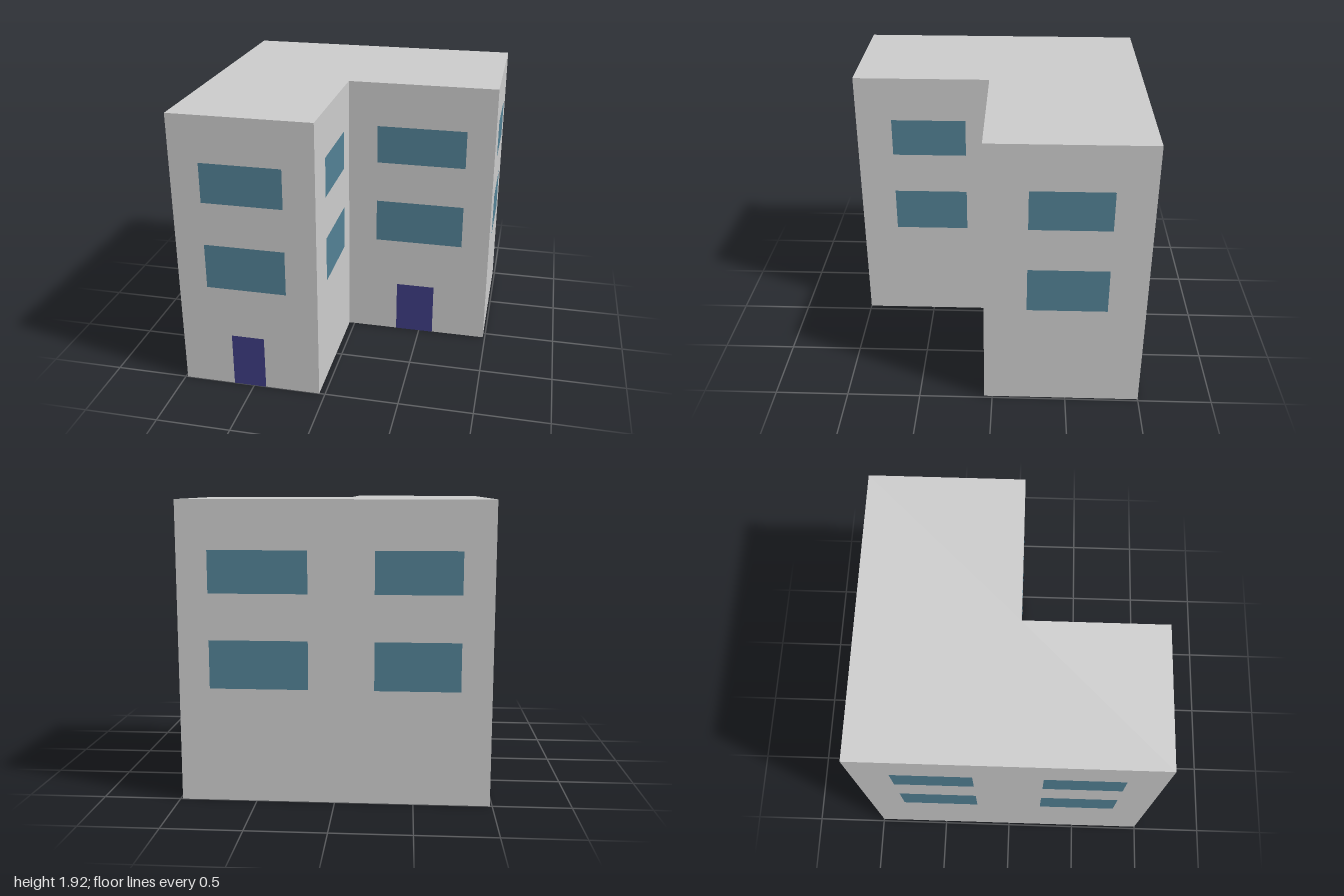
import * as THREE from 'three';

const HEIGHT = 1.92;
const X = 0.985, Z = 1;            // outer half extents
const NOTCH_X = -0.04, NOTCH_Z = 0.055; // inner corner of the L plan
const GAP = 0.002;                 // panels sit just proud of the wall

export function createModel() {
  const model = new THREE.Group();
  model.name = 'building';
  const wallMat = new THREE.MeshStandardMaterial({ color: 0xcccccc, flatShading: true });
  const glassMat = new THREE.MeshStandardMaterial({ color: 0x528094 });
  const doorMat = new THREE.MeshStandardMaterial({ color: 0x3e3c82 });

  // L-shaped block: plan drawn with y = -z, then stood upright
  const plan = new THREE.Shape([
    [-X, -Z], [NOTCH_X, -Z], [NOTCH_X, -NOTCH_Z], [X, -NOTCH_Z], [X, Z], [-X, Z],
  ].map(([x, y]) => new THREE.Vector2(x, y)));
  const block = new THREE.ExtrudeGeometry(plan, { depth: HEIGHT, bevelEnabled: false });
  block.rotateX(-Math.PI / 2);
  const walls = new THREE.Mesh(block, wallMat);
  walls.name = 'walls';
  model.add(walls);

  // Flat panel on a wall; a0..a1 runs along x (front, back) or z (sides)
  const turns = { front: 0, right: Math.PI / 2, back: Math.PI, left: -Math.PI / 2 };
  function panel(name, mat, facing, wall, [a0, a1], [y0, y1]) {
    const mesh = new THREE.Mesh(new THREE.PlaneGeometry(a1 - a0, y1 - y0), mat);
    const along = (a0 + a1) / 2, y = (y0 + y1) / 2;
    const out = wall + (facing === 'front' || facing === 'right' ? GAP : -GAP);
    if (facing === 'front' || facing === 'back') mesh.position.set(along, y, out);
    else mesh.position.set(out, y, along);
    mesh.rotation.y = turns[facing];
    mesh.name = name;
    model.add(mesh);
  }

  // Windows: two storeys on every wall
  const wing = [-0.79, -0.25], main = [0.165, 0.79];
  const rear = [-0.75, -0.225], fore = [0.225, 0.75];
  const columns = [
    ['front', Z, wing], ['front', NOTCH_Z, main],
    ['back', -Z, wing], ['back', -Z, main],
    ['right', X, rear], ['right', NOTCH_X, fore],
    ['left', -X, rear], ['left', -X, fore],
  ];
  for (const [facing, wall, span] of columns) {
    panel('lowerWindow', glassMat, facing, wall, span, [0.735, 1.045]);
    panel('upperWindow', glassMat, facing, wall, span, [1.34, 1.61]);
  }

  // Doors
  panel('wingDoor', doorMat, 'front', Z, [-0.64, -0.415], [0, 0.38]);
  panel('mainDoor', doorMat, 'front', NOTCH_Z, [0.325, 0.6], [0, 0.38]);

  return model;
}
